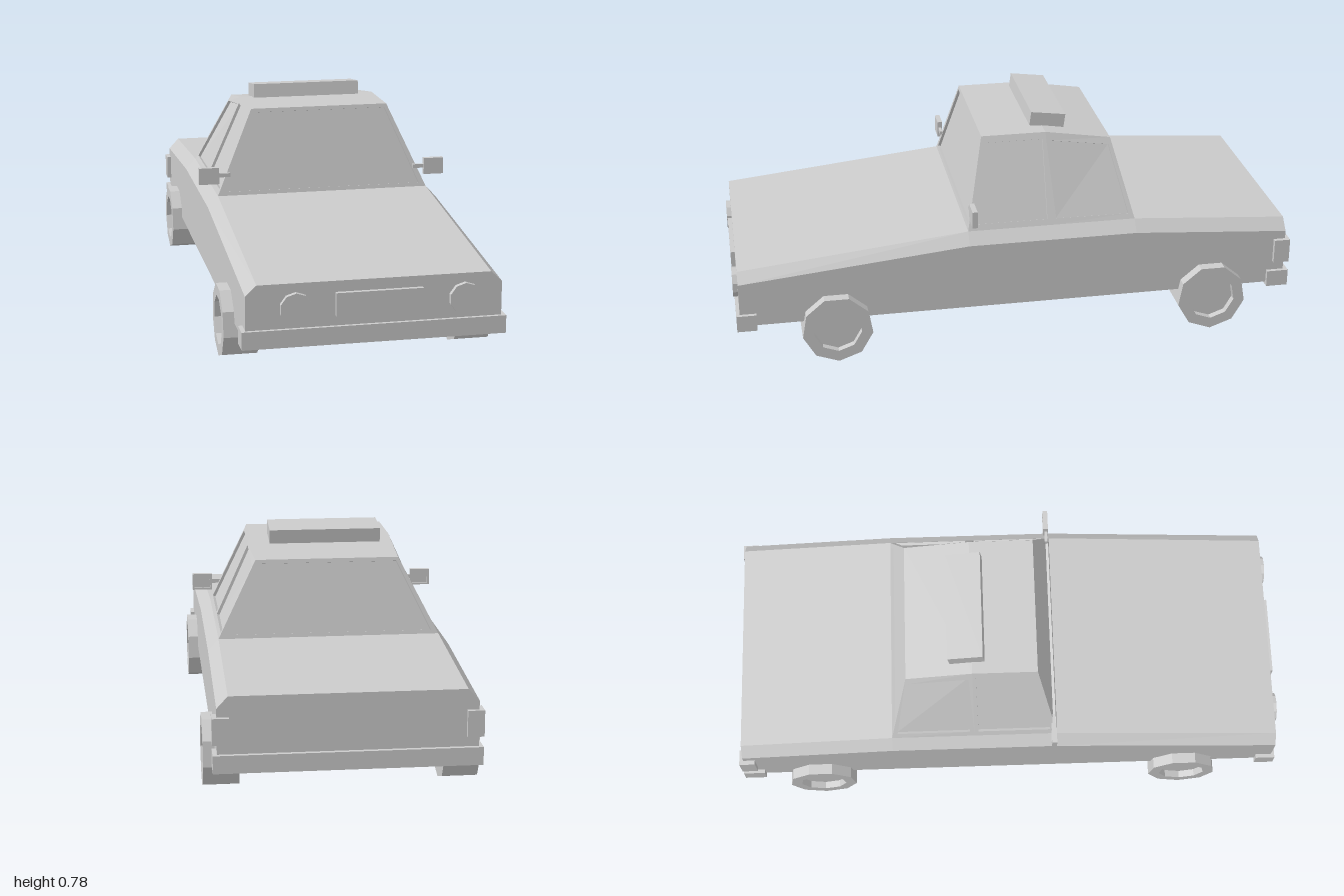
import * as THREE from 'three';

const grey = new THREE.MeshStandardMaterial({ color: 0xcccccc, flatShading: true });

function add(parent, name, geometry, x = 0, y = 0, z = 0) {
  const mesh = new THREE.Mesh(geometry, grey);
  mesh.name = name;
  mesh.position.set(x, y, z);
  parent.add(mesh);
  return mesh;
}

const box = (w, h, d) => new THREE.BoxGeometry(w, h, d);
const v3 = (x, y, z) => new THREE.Vector3(x, y, z);

// Builds a geometry from quads, each with corners counter-clockwise from outside
function quads(list) {
  const pos = [];
  for (const [a, b, c, d] of list) {
    for (const p of [a, b, c, a, c, d]) pos.push(p.x, p.y, p.z);
  }
  const g = new THREE.BufferGeometry();
  g.setAttribute('position', new THREE.Float32BufferAttribute(pos, 3));
  g.computeVertexNormals();
  return g;
}

// Window panel: a frame around a sunken pane. Corners: bottom left, bottom right, top right, top left
function windowPanel(parent, name, [bl, br, tr, tl], [u0, u1, w0, w1], depth = 0.01) {
  const at = (u, w) => bl.clone().lerp(br, u).lerp(tl.clone().lerp(tr, u), w);
  const outer = [bl, br, tr, tl];
  const inner = [at(u0, w0), at(u1, w0), at(u1, w1), at(u0, w1)];
  const normal = br.clone().sub(bl).cross(tl.clone().sub(bl)).normalize();
  const sunk = inner.map(p => p.clone().addScaledVector(normal, -depth));
  const frame = [];
  for (let i = 0; i < 4; i++) {
    const j = (i + 1) % 4;
    frame.push([outer[i], outer[j], inner[j], inner[i]]);
    frame.push([inner[i], inner[j], sunk[j], sunk[i]]);
  }
  add(parent, name + 'Frame', quads(frame));
  add(parent, name + 'Pane', quads([sunk]));
}

// Lower body lofted through cross-sections: [z, belt height, top height]
function buildBody() {
  const rings = [[0.98, 0.31, 0.345], [0.17, 0.39, 0.43], [-0.43, 0.39, 0.43], [-0.985, 0.35, 0.39]]
    .map(([z, belt, top]) => [
      v3(0.422, 0.15, z), v3(0.422, belt, z), v3(0.385, top, z),
      v3(-0.385, top, z), v3(-0.422, belt, z), v3(-0.422, 0.15, z),
    ]);
  const faces = [];
  for (let k = 0; k < rings.length - 1; k++) {
    for (let i = 0; i < 6; i++) {
      const j = (i + 1) % 6;
      faces.push([rings[k][i], rings[k + 1][i], rings[k + 1][j], rings[k][j]]);
    }
  }
  const f = rings[0], r = rings[3];
  faces.push([f[0], f[1], f[4], f[5]], [f[1], f[2], f[3], f[4]]);
  faces.push([r[5], r[4], r[1], r[0]], [r[4], r[3], r[2], r[1]]);
  return quads(faces);
}

function buildCabin() {
  const cabin = new THREE.Group();
  cabin.name = 'cabin';
  // Left-hand outline points; mirrored for the right
  const base = [0.17, -0.13, -0.43].map(z => v3(0.385, 0.43, z));
  const roof = [v3(0.25, 0.73, 0.1), v3(0.25, 0.73, -0.13), v3(0.25, 0.693, -0.365)];
  const mir = p => v3(-p.x, p.y, p.z);

  windowPanel(cabin, 'windshield', [mir(base[0]), base[0], roof[0], mir(roof[0])], [0.026, 0.974, 0.045, 0.957]);
  windowPanel(cabin, 'rearWindow', [base[2], mir(base[2]), mir(roof[2]), roof[2]], [0.026, 0.974, 0.05, 0.95]);

  const margins = [[0.067, 0.95, 0.067, 0.927], [0.057, 0.943, 0.067, 0.91]];
  ['frontSideWindow', 'rearSideWindow'].forEach((name, i) => {
    const c = [base[i], base[i + 1], roof[i + 1], roof[i]];
    const [u0, u1, w0, w1] = margins[i];
    windowPanel(cabin, name + 'Left', c, margins[i]);
    windowPanel(cabin, name + 'Right', [c[1], c[0], c[3], c[2]].map(mir), [1 - u1, 1 - u0, w0, w1]);
  });

  add(cabin, 'roof', quads([0, 1].map(i => [mir(roof[i]), roof[i], roof[i + 1], mir(roof[i + 1])])));
  return cabin;
}

// Nine-sided wheel with a sunken hub on its outer face
function buildWheel(side) {
  const profile = [[0, -0.06], [0.125, -0.06], [0.125, 0.06], [0.085, 0.06], [0.085, 0.035], [0, 0.035]]
    .map(([r, y]) => new THREE.Vector2(r, y));
  const g = new THREE.LatheGeometry(profile, 9, side * Math.PI / 2);
  g.rotateZ(-side * Math.PI / 2);
  return g;
}

// Door mirror: stalk, backing plate and a raised rim facing the rear
function buildMirror(side) {
  const mirror = new THREE.Group();
  mirror.name = side > 0 ? 'leftMirror' : 'rightMirror';
  add(mirror, 'mirrorStalk', box(0.05, 0.014, 0.01), side * 0.363, 0.504, 0.157);
  add(mirror, 'mirrorPlate', box(0.073, 0.06, 0.01), side * 0.415, 0.503, 0.16);
  for (const s of [-1, 1]) {
    add(mirror, 'mirrorRim', box(0.073, 0.007, 0.008), side * 0.415, 0.503 + s * 0.0265, 0.151);
    add(mirror, 'mirrorRim', box(0.007, 0.046, 0.008), side * 0.415 + s * 0.033, 0.503, 0.151);
  }
  return mirror;
}

export function createModel() {
  const car = new THREE.Group();
  car.name = 'car';

  add(car, 'body', buildBody());
  car.add(buildCabin());

  // Roof sign, following the rear slope
  add(car, 'roofSign', box(0.395, 0.05, 0.125), -0.01, 0.75, -0.15).rotation.x = -0.13;

  // Bumpers
  add(car, 'frontBumper', box(0.872, 0.06, 0.07), 0, 0.166, 0.957);
  add(car, 'rearBumper', box(0.872, 0.06, 0.078), 0, 0.168, -0.961);

  // Headlights and number plate
  for (const x of [-0.26, 0.297]) {
    const lamp = new THREE.CylinderGeometry(0.053, 0.053, 0.03, 10);
    lamp.rotateX(Math.PI / 2);
    add(car, 'headlight', lamp, x, 0.263, 0.982);
  }
  add(car, 'numberPlate', box(0.286, 0.078, 0.03), 0.013, 0.269, 0.98);

  for (const side of [-1, 1]) {
    // Wrap-around tail lights
    add(car, 'tailLight', box(0.055, 0.088, 0.057), side * 0.41, 0.277, -0.971);
    car.add(buildMirror(side));
    for (const [name, z] of [['frontWheel', 0.645], ['rearWheel', -0.708]]) {
      add(car, name, buildWheel(side), side * 0.4, 0.125, z);
    }
  }
  return car;
}
